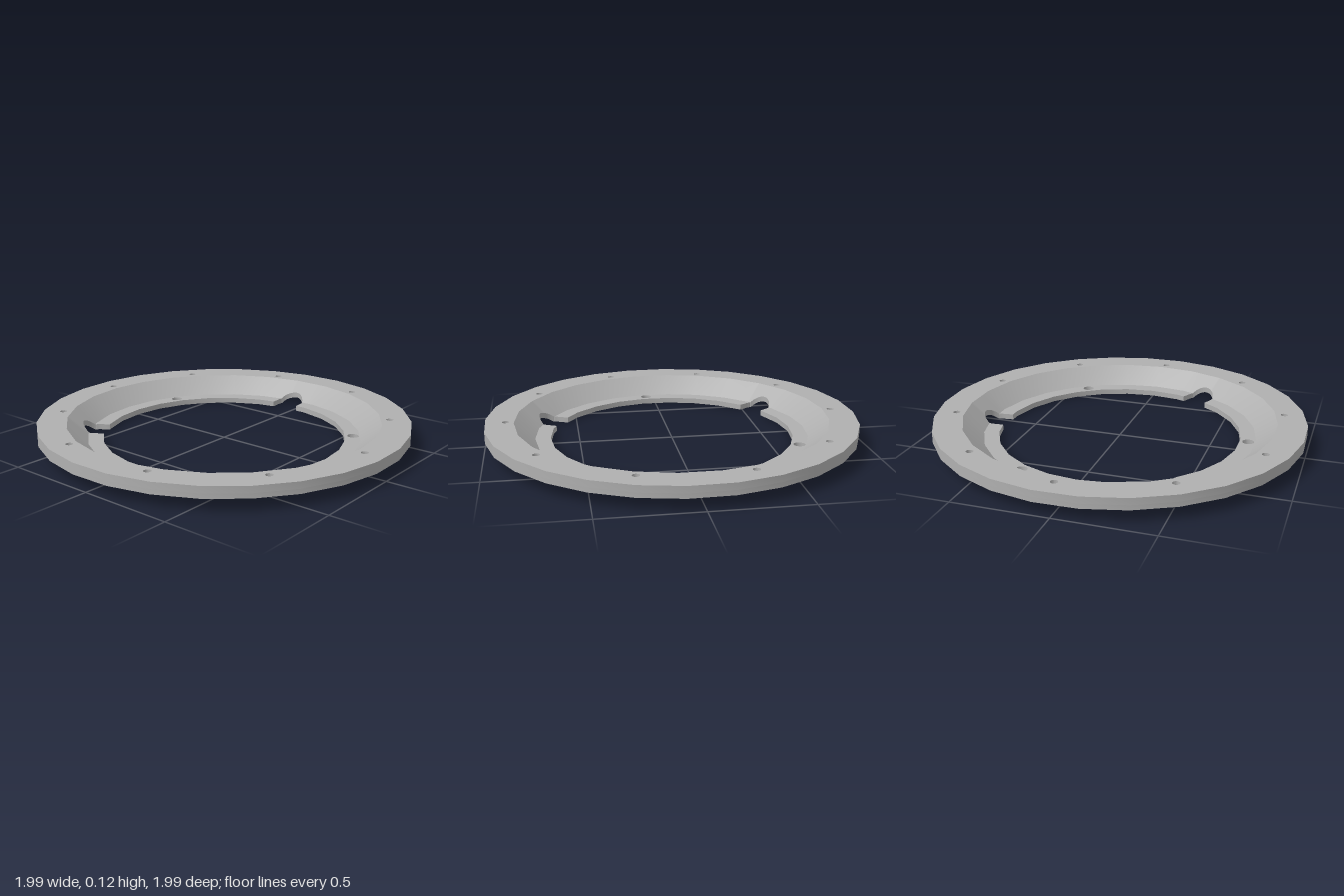
import * as THREE from 'three';
import { toCreasedNormals } from 'three/addons/utils/BufferGeometryUtils.js';

const RAD = Math.PI / 180;
const SIDES = 26, PHASE = 6.92;       // faceting of the dish
const NOTCH = 4.8;                    // angle of the first notch, in degrees
const FLOOR_IN = 0.655, FLOOR_OUT = 0.737, SLOT_R = 0.7, SLOT_W = 0.078;

// Radius factor that turns a circle into a regular polygon
function facet(a, n = SIDES, phase = PHASE) {
  const step = 360 / n;
  const t = (((a - phase) % step) + step) % step;
  return Math.cos((step / 2) * RAD) / Math.cos((t - step / 2) * RAD);
}

// Inner limit of the material at an angle: floor rim or round-ended notch
function innerRadius(a) {
  const rim = FLOOR_IN * facet(a);
  const d = Math.abs((((a - NOTCH + 60) % 120) + 120) % 120 - 60) * RAD;
  const s = Math.sin(d);
  if (d < 6.38 * RAD) return SLOT_R * Math.cos(d) + Math.sqrt(SLOT_W ** 2 - (SLOT_R * s) ** 2);
  return Math.max(rim, SLOT_W / s);
}

// Polygon corners plus fine steps across each notch
function dishAngles() {
  const list = [];
  for (let i = 0; i < SIDES; i++) list.push(PHASE + (i * 360) / SIDES);
  for (let k = 0; k < 3; k++)
    for (let d = -7; d <= 7; d += 0.25) list.push((NOTCH + 120 * k + d + 360) % 360);
  return list.sort((a, b) => a - b);
}

const polar = (r, a) => new THREE.Vector2(r * Math.cos(a * RAD), r * Math.sin(a * RAD));

function polygon(r, n, phase) {
  return Array.from({ length: n }, (_, i) => polar(r, phase + (i * 360) / n));
}

function drill(shape, r, a, size) {
  const c = polar(r, a);
  shape.holes.push(new THREE.Path().absarc(c.x, c.y, size, 0, Math.PI * 2, true));
}

// Horizontal plate between two heights
function plate(shape, y0, y1) {
  const g = new THREE.ExtrudeGeometry(shape, { depth: y1 - y0, bevelEnabled: false, curveSegments: 10 });
  g.rotateX(-Math.PI / 2).translate(0, y0, 0);
  return toCreasedNormals(g, 0.5);
}

function ring(rOut, nOut, phOut, rIn, nIn, phIn, holes) {
  const s = new THREE.Shape(polygon(rOut, nOut, phOut));
  s.holes.push(new THREE.Path(polygon(rIn, nIn, phIn)));
  if (holes) for (let i = 0; i < 10; i++) drill(s, 0.888, 16.7 + 36 * i, 0.019);
  return s;
}

// Sloping wall, its foot cut back by the notches
function wallGeometry(angles) {
  const pos = [], idx = [], P = 6, N = angles.length;
  for (const a of angles) {
    const f = facet(a);
    const c = Math.max(FLOOR_OUT, innerRadius(a) / f);
    const under = Math.max(0, (c - 0.74) * 0.93);
    const over = 0.03 + Math.max(0, (c - FLOOR_OUT) * 0.88);
    const profile = [[c, under], [0.81, 0.065], [0.833, 0.065], [0.845, 0.09], [0.845, 0.125], [c, over]];
    for (const [r, y] of profile) {
      const p = polar(r * f, a);
      pos.push(p.x, y, -p.y);
    }
  }
  for (let i = 0; i < N; i++) for (let j = 0; j < P; j++) {
    const k = (i + 1) % N, l = (j + 1) % P;
    const A = i * P + j, B = k * P + j, C = k * P + l, D = i * P + l;
    idx.push(A, B, C, A, C, D);
  }
  const g = new THREE.BufferGeometry();
  g.setAttribute('position', new THREE.Float32BufferAttribute(pos, 3));
  g.setIndex(idx);
  return toCreasedNormals(g, 0.5);
}

export function createModel() {
  const group = new THREE.Group();
  group.name = 'mountingRing';
  const metal = new THREE.MeshStandardMaterial({ color: 0xb0b0b0 });
  metal.name = 'grey metal';
  const add = (name, geometry) => {
    const m = new THREE.Mesh(geometry, metal);
    m.name = name;
    group.add(m);
  };

  // Flat outer flange with ten screw holes, and ridges beneath it
  const OUT = 28, OUT_PHASE = 7.8;
  add('flange', plate(ring(1, OUT, OUT_PHASE, 0.845, SIDES, PHASE, true), 0.09, 0.125));
  add('outerRidge', plate(ring(1, OUT, OUT_PHASE, 0.942, OUT, OUT_PHASE), 0.065, 0.09));
  add('screwRidge', plate(ring(0.918, SIDES, PHASE, 0.862, SIDES, PHASE, true), 0.065, 0.09));

  const angles = dishAngles();
  add('slopingWall', wallGeometry(angles));

  // Three floor segments between the notches, each with one bolt hole
  for (let k = 0; k < 3; k++) {
    const start = NOTCH + 120 * k;
    const span = angles
      .map((a) => start + ((((a - start) % 360) + 360) % 360))
      .filter((a) => a - start < 120 && innerRadius(a) < FLOOR_OUT * facet(a))
      .sort((a, b) => a - b);
    const outer = span.map((a) => polar(FLOOR_OUT * facet(a), a));
    const inner = span.map((a) => polar(innerRadius(a), a)).reverse();
    const s = new THREE.Shape([...outer, ...inner]);
    drill(s, 0.698, start + 59.5, 0.031);
    add('floorSegment' + (k + 1), plate(s, 0, 0.03));
  }
  return group;
}
